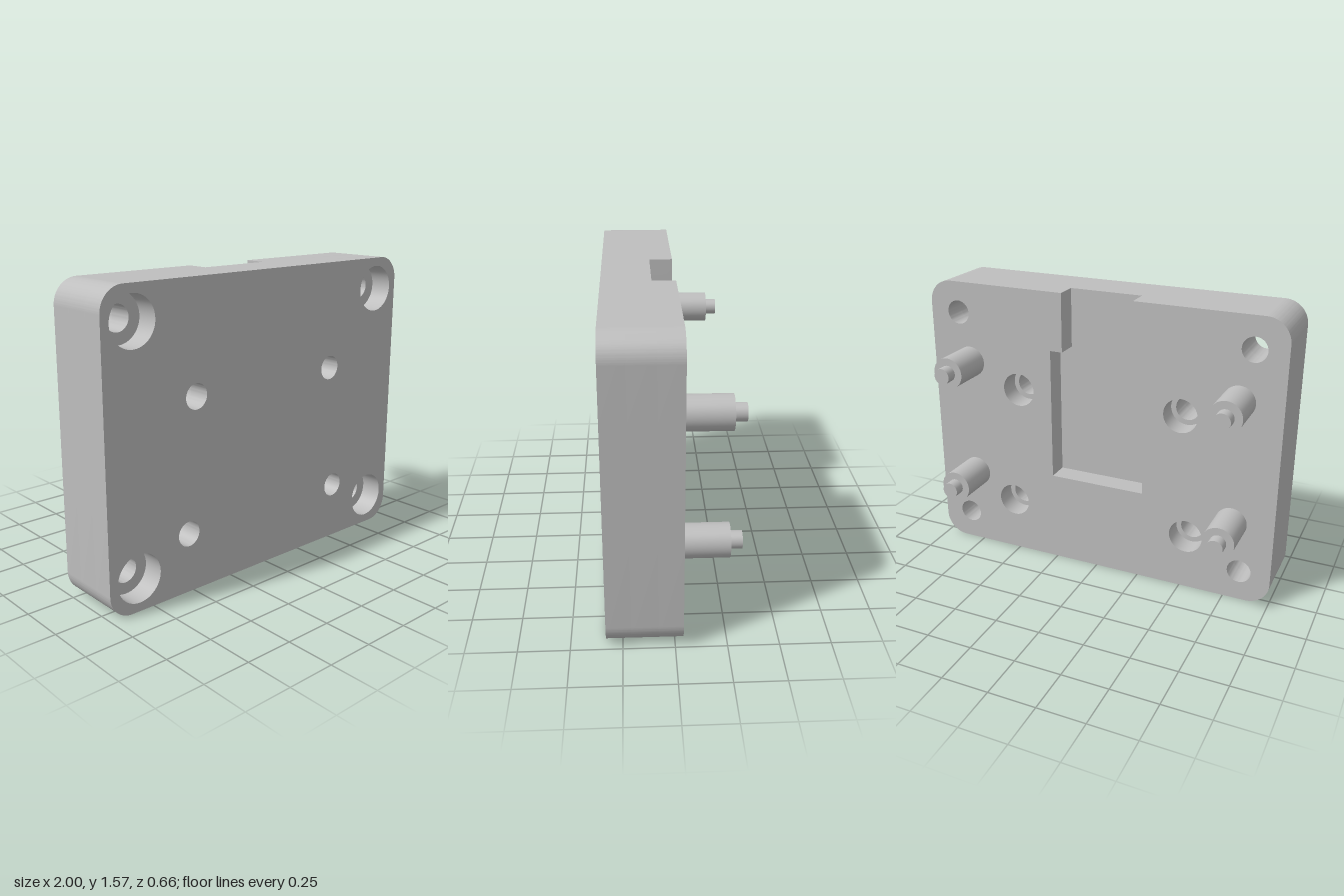
import * as THREE from 'three';
import { toCreasedNormals } from 'three/addons/utils/BufferGeometryUtils.js';

const W = 1, H = 1.57, R = 0.125;          // half width, height, corner radius
const BACK = -0.04, POCKET = 0.08, BORE = 0.21, FRONT = 0.33; // layer depths in z

const cornerHoles = [[0.83, 0.17], [0.83, 1.4], [-0.83, 0.17], [-0.83, 1.4]];
const innerHoles = [[0.47, 1.0], [-0.47, 1.0], [0.525, 0.31], [-0.525, 0.31]];

// Rounded plate outline, optionally with the stepped slot cut in from the top edge
function outline(slot) {
  const s = new THREE.Shape();
  s.moveTo(-W + R, 0);
  s.lineTo(W - R, 0);
  s.absarc(W - R, R, R, -Math.PI / 2, 0);
  s.lineTo(W, H - R);
  s.absarc(W - R, H - R, R, 0, Math.PI / 2);
  if (slot) {
    s.lineTo(0.2, H);
    s.lineTo(0.2, 1.25);
    s.lineTo(0.27, 1.25);
    s.lineTo(0.27, 0.515);
    s.lineTo(-0.27, 0.515);
    s.lineTo(-0.27, 1.25);
    s.lineTo(-0.235, 1.25);
    s.quadraticCurveTo(-0.2, 1.25, -0.2, 1.285);
    s.lineTo(-0.2, H);
  }
  s.lineTo(-W + R, H);
  s.absarc(-W + R, H - R, R, Math.PI / 2, Math.PI);
  s.lineTo(-W, R);
  s.absarc(-W + R, R, R, Math.PI, Math.PI * 1.5);
  return s;
}

function layer(name, z0, z1, slot, cornerR, innerR, material) {
  const shape = outline(slot);
  const drill = (points, r) => points.forEach(([x, y]) => {
    shape.holes.push(new THREE.Path().absarc(x, y, r, 0, Math.PI * 2, true));
  });
  drill(cornerHoles, cornerR);
  drill(innerHoles, innerR);
  const geo = new THREE.ExtrudeGeometry(shape, { depth: z1 - z0, bevelEnabled: false, curveSegments: 24 });
  geo.translate(0, 0, z0);
  const mesh = new THREE.Mesh(toCreasedNormals(geo, 0.5), material);
  mesh.name = name;
  return mesh;
}

// Cylinder along z between two depths
function rod(name, x, y, r, z0, z1, material) {
  const geo = new THREE.CylinderGeometry(r, r, z1 - z0, 48).rotateX(Math.PI / 2);
  const mesh = new THREE.Mesh(geo, material);
  mesh.position.set(x, y, (z0 + z1) / 2);
  mesh.name = name;
  return mesh;
}

export function createModel() {
  const grey = new THREE.MeshStandardMaterial({ color: 0xbebebe });
  grey.name = 'grey';
  const model = new THREE.Group();
  model.name = 'mountingPlate';

  // Plate in three layers: slotted back, solid middle, counterbored front
  const plate = new THREE.Group();
  plate.name = 'plate';
  plate.add(
    layer('slottedBack', BACK, POCKET, true, 0.065, 0.093, grey),
    layer('middle', POCKET, BORE, false, 0.065, 0.065, grey),
    layer('counterboredFront', BORE, FRONT, false, 0.125, 0.065, grey),
  );
  model.add(plate);

  // Four stepped locating posts on the back
  for (const x of [-0.77, 0.77]) for (const y of [0.45, 1.125]) {
    const post = new THREE.Group();
    post.name = 'post';
    post.add(
      rod('postBody', x, y, 0.085, -0.27, BACK + 0.01, grey),
      rod('postPin', x, y, 0.044, -0.33, -0.26, grey),
    );
    model.add(post);
  }
  return model;
}
